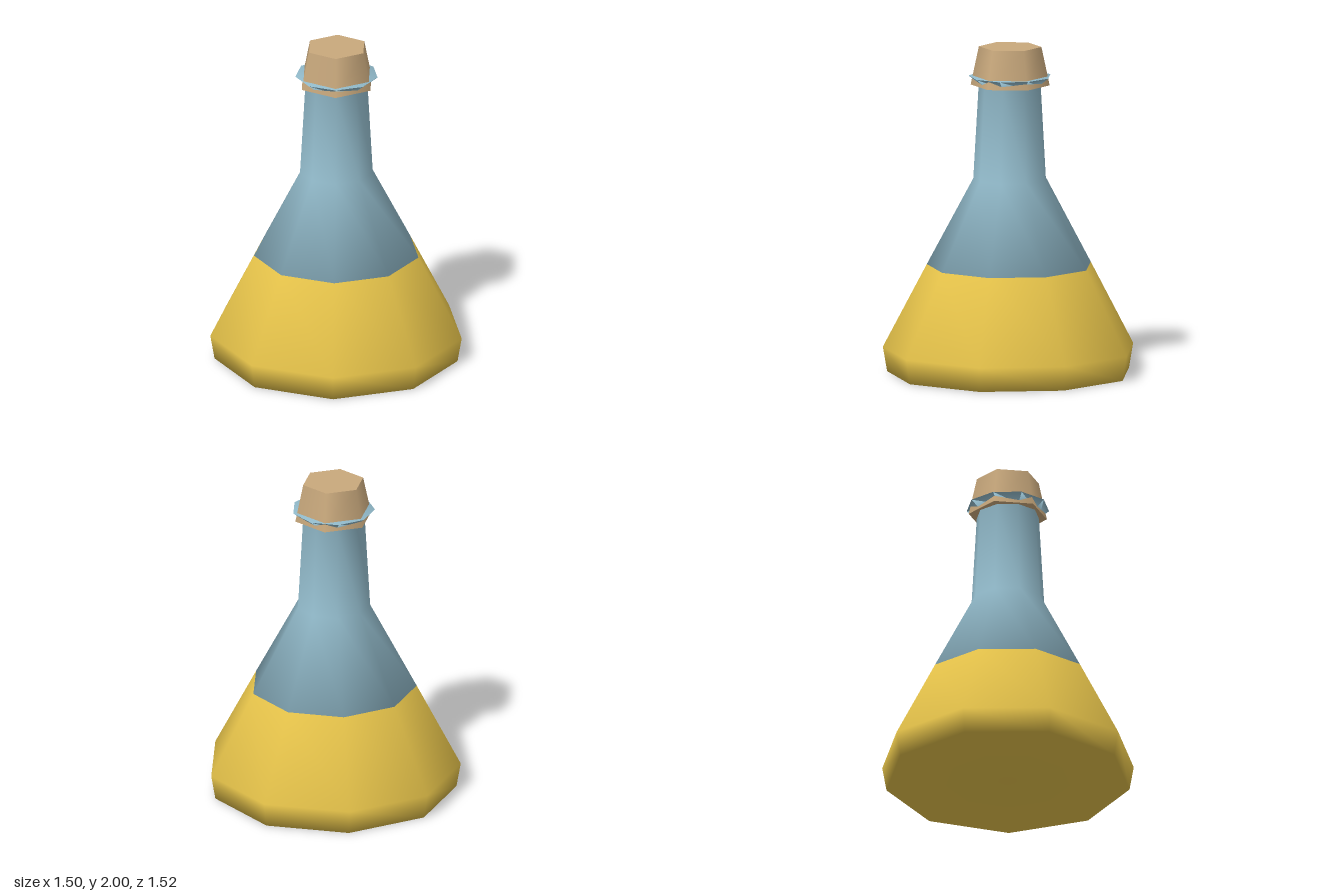
import * as THREE from 'three';
import { mergeVertices } from 'three/addons/utils/BufferGeometryUtils.js';

const SIDES = 9;

// Closed nine-sided body of revolution, fully smooth (caps included), one corner at +x
function turned(name, profile, material) {
  const points = profile.map(([r, y]) => new THREE.Vector2(r, y));
  let geometry = new THREE.LatheGeometry(points, SIDES, Math.PI / 2);
  geometry.deleteAttribute('uv');
  geometry.deleteAttribute('normal');
  geometry = mergeVertices(geometry, 1e-4);
  geometry.computeVertexNormals();
  const mesh = new THREE.Mesh(geometry, material);
  mesh.name = name;
  return mesh;
}

function flat(name, color) {
  const material = new THREE.MeshStandardMaterial({ color });
  material.name = name;
  return material;
}

export function createModel() {
  const liquidYellow = flat('liquidYellow', 0xe0be48);
  const glassBlue = flat('glassBlue', 0x90b8c8);
  const corkBrown = flat('corkBrown', 0xc8a87c);

  const flask = new THREE.Group();
  flask.name = 'flask';

  // Liquid filling the lower cone
  flask.add(turned('liquid', [
    [0, 0], [0.747, 0], [0.773, 0.15], [0.506, 0.66], [0, 0.66],
  ], liquidYellow));

  // Glass shoulder, neck and flared lip
  flask.add(turned('glass', [
    [0, 0.66], [0.506, 0.66], [0.224, 1.19], [0.191, 1.77], [0.253, 1.82], [0, 1.82],
  ], glassBlue));

  // Six-sided tapered stopper
  const stopper = new THREE.Mesh(
    new THREE.CylinderGeometry(0.19, 0.24, 0.235, 6, 1, false, Math.PI / 2), corkBrown);
  stopper.name = 'stopper';
  stopper.position.y = 1.8825;
  flask.add(stopper);

  // Odd-sided outline: shift so the width is centred
  flask.position.x = -0.023;

  const model = new THREE.Group();
  model.name = 'stopperedFlask';
  model.add(flask);
  return model;
}
